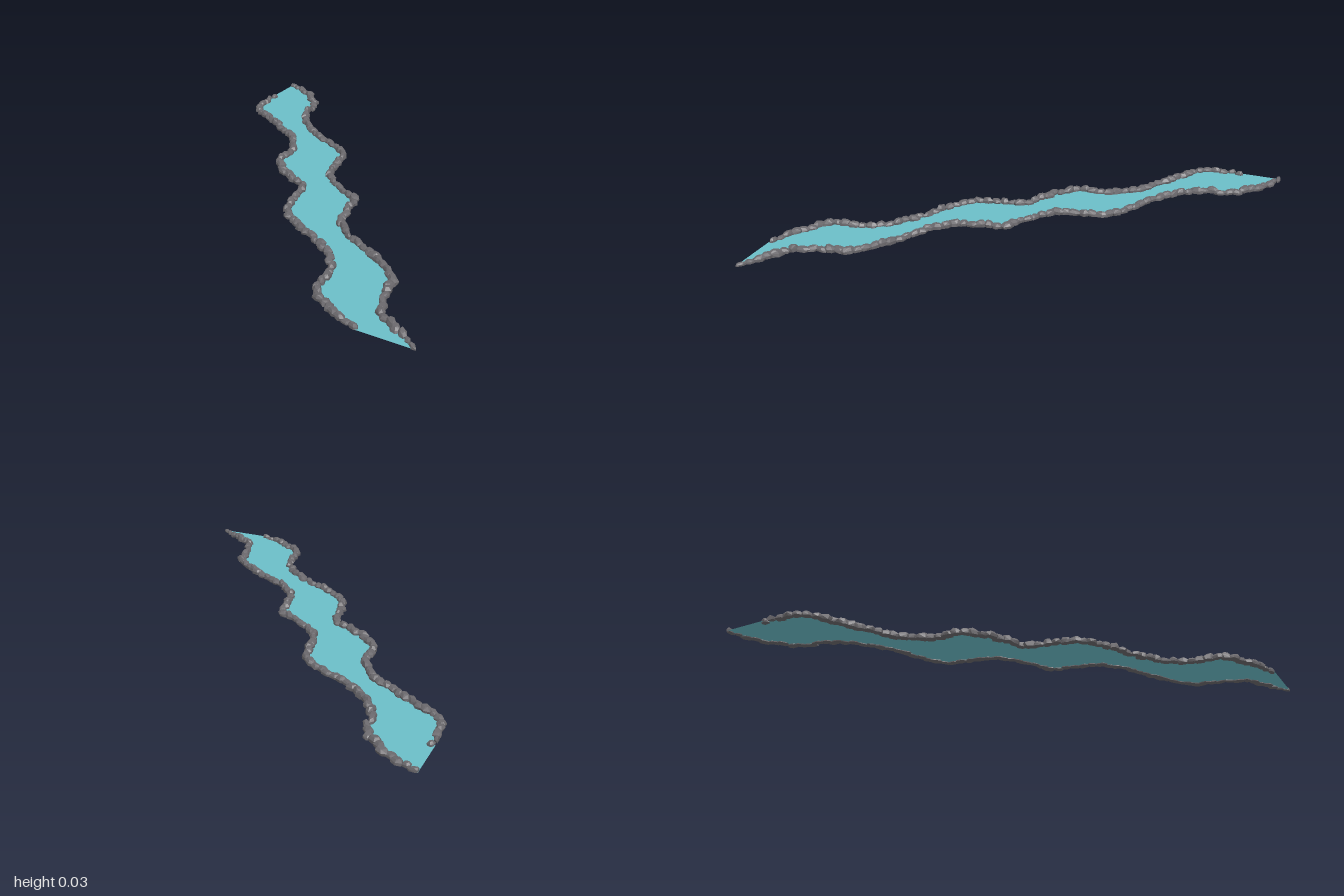
import * as THREE from 'three';
import { ConvexGeometry } from 'three/addons/geometries/ConvexGeometry.js';

// Bank centre lines as [x, z]
const RIGHT_BANK = [[-.9, -.985], [-.79, -.94], [-.7, -.87], [-.64, -.79], [-.615, -.67], [-.55, -.57],
  [-.405, -.46], [-.26, -.385], [-.165, -.31], [-.145, -.21], [-.115, -.09], [-.01, .005], [.12, .085],
  [.155, .195], [.18, .29], [.27, .385], [.4, .46], [.53, .54], [.61, .615], [.64, .725], [.685, .845],
  [.8, .925], [.895, .985]];
const LEFT_BANK = [[-.905, -.79], [-.895, -.67], [-.86, -.59], [-.765, -.53], [-.645, -.455], [-.525, -.385],
  [-.455, -.3], [-.415, -.21], [-.405, -.105], [-.33, -.015], [-.21, .05], [-.145, .095], [-.12, .195],
  [-.09, .32], [.005, .4], [.135, .47], [.265, .555], [.335, .635], [.37, .74], [.395, .845], [.48, .91],
  [.585, .97], [.645, .988]];

function seeded(seed) {
  return () => {
    seed = (seed * 16807) % 2147483647;
    return seed / 2147483647;
  };
}

const bankCurve = (points) =>
  new THREE.CatmullRomCurve3(points.map(([x, z]) => new THREE.Vector3(x, 0, z)));

// Faceted boulder: irregular rings narrowing to a sloping top
function stoneGeometry(centre, yaw, length, width, height, rand) {
  const points = [];
  const sides = 6;
  const tilt = (rand() - 0.5) * 0.35;
  for (const [level, scale] of [[0, 0.95], [0.55, 1], [1, 0.58]]) {
    for (let i = 0; i < sides; i++) {
      const a = ((i + 0.35 * rand()) / sides) * Math.PI * 2;
      const r = scale * (0.85 + 0.3 * rand());
      const u = Math.cos(a) * r * length / 2;
      const v = Math.sin(a) * r * width / 2;
      const y = height * level * (1 + tilt * Math.cos(a) - 0.12 * rand());
      const x = centre.x + u * Math.cos(yaw) + v * Math.sin(yaw);
      const z = centre.z - u * Math.sin(yaw) + v * Math.cos(yaw);
      points.push(new THREE.Vector3(
        THREE.MathUtils.clamp(x, -0.915, 0.915), Math.min(y, 0.032), THREE.MathUtils.clamp(z, -1, 1)));
    }
  }
  return new ConvexGeometry(points);
}

// Row of overlapping stones following one bank
function stoneRow(curve, name, material, seed) {
  const row = new THREE.Group();
  row.name = name;
  const rand = seeded(seed);
  const count = Math.round(curve.getLength() / 0.041);
  for (let i = 0; i <= count; i++) {
    const t = i / count;
    const p = curve.getPointAt(t);
    const d = curve.getTangentAt(t);
    const side = (rand() - 0.5) * 0.014;
    p.x -= d.z * side;
    p.z += d.x * side;
    const yaw = Math.atan2(-d.z, d.x) + (rand() - 0.5) * 0.9;
    const end = Math.min(i, count - i) < 2 ? 0.75 : 1;
    const stone = new THREE.Mesh(
      stoneGeometry(p, yaw, (0.052 + 0.022 * rand()) * end, (0.032 + 0.014 * rand()) * end,
        (0.02 + 0.012 * rand()) * end, rand), material);
    stone.name = 'stone';
    row.add(stone);
  }
  return row;
}

export function createModel() {
  const water = new THREE.MeshStandardMaterial({ color: 0x6bbec8, side: THREE.DoubleSide });
  water.name = 'water teal';
  const rock = new THREE.MeshStandardMaterial({ color: 0x6b696d, flatShading: true });
  rock.name = 'rock grey';

  const model = new THREE.Group();
  model.name = 'river';
  const right = bankCurve(RIGHT_BANK);
  const left = bankCurve(LEFT_BANK);

  // Flat water surface between the banks, cut straight at both ends
  const outline = [
    ...left.getSpacedPoints(80), new THREE.Vector3(0.655, 0, 1), new THREE.Vector3(0.915, 0, 1),
    ...right.getSpacedPoints(80).reverse(), new THREE.Vector3(-0.915, 0, -1), new THREE.Vector3(-0.915, 0, -0.79),
  ].map((p) => new THREE.Vector2(p.x, -p.z));
  const surface = new THREE.Mesh(new THREE.ShapeGeometry(new THREE.Shape(outline)).rotateX(-Math.PI / 2), water);
  surface.name = 'waterSurface';
  surface.position.y = 0.004;
  model.add(surface);

  // Stone edging
  model.add(stoneRow(right, 'rightBankStones', rock, 4211));
  model.add(stoneRow(left, 'leftBankStones', rock, 9377));
  return model;
}
